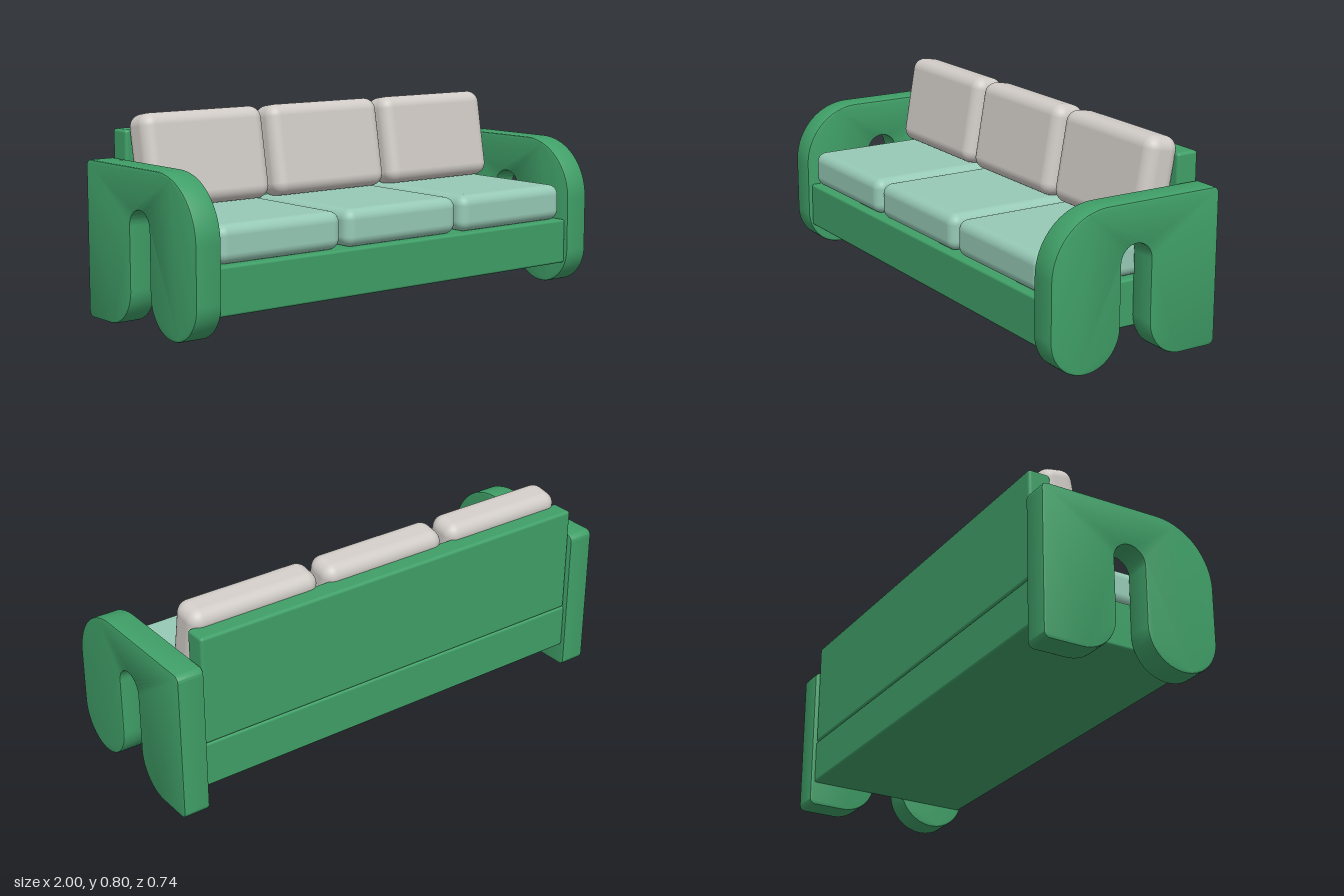
import * as THREE from 'three';
import { toCreasedNormals } from 'three/addons/utils/BufferGeometryUtils.js';
import { RoundedBoxGeometry } from 'three/addons/geometries/RoundedBoxGeometry.js';

const material = (name, color) => new THREE.MeshStandardMaterial({ name, color });

// Side panel profile, drawn with x along depth (front is positive) and y up
function armShape() {
  const s = new THREE.Shape();
  const half = Math.PI / 2;
  s.moveTo(0.37, 0.152);
  s.lineTo(0.37, 0.37);
  s.absarc(0.125, 0.37, 0.245, 0, half, false); // rounded front shoulder
  s.lineTo(-0.345, 0.615);
  s.absarc(-0.345, 0.59, 0.025, half, Math.PI, false);
  s.lineTo(-0.37, 0.025);
  s.absarc(-0.345, 0.025, 0.025, Math.PI, 3 * half, false);
  s.lineTo(-0.215, 0);
  s.absarc(-0.215, 0.148, 0.148, -half, 0, false); // rear foot
  s.lineTo(-0.067, 0.39);
  s.absarc(0, 0.39, 0.067, Math.PI, 0, true); // arch of the slot
  s.lineTo(0.067, 0.152);
  s.absarc(0.2185, 0.152, 0.1515, Math.PI, 2 * Math.PI, false); // front foot
  return s;
}

export function createModel() {
  const sofa = new THREE.Group();
  sofa.name = 'sofa';
  const frameGreen = material('frame green', 0x40a068);
  const seatMint = material('seat mint', 0x97cab6);
  const cushionGrey = material('cushion grey', 0xd0cbc6);

  const add = (name, geometry, mat, x, y, z) => {
    const mesh = new THREE.Mesh(geometry, mat);
    mesh.name = name;
    mesh.position.set(x, y, z);
    sofa.add(mesh);
    return mesh;
  };

  // Arms
  const bevel = 0.007, armWidth = 0.11;
  let arm = new THREE.ExtrudeGeometry(armShape(), {
    depth: armWidth - 2 * bevel, curveSegments: 20,
    bevelSize: bevel, bevelThickness: bevel, bevelOffset: -bevel, bevelSegments: 2,
  });
  arm.translate(0, 0, bevel - armWidth / 2);
  arm.rotateY(-Math.PI / 2);
  arm = toCreasedNormals(arm, 0.5);
  add('leftArm', arm, frameGreen, 0.945, 0, 0);
  add('rightArm', arm, frameGreen, -0.945, 0, 0);

  // Base and backrest
  add('base', new RoundedBoxGeometry(1.784, 0.185, 0.71, 3, 0.01), frameGreen, 0, 0.19, 0);
  add('backrest', new RoundedBoxGeometry(1.776, 0.446, 0.093, 3, 0.012), frameGreen, 0, 0.505, -0.3085);

  // Three seat cushions with three leaning back cushions
  const seat = new RoundedBoxGeometry(0.57, 0.148, 0.605, 5, 0.042);
  const back = new RoundedBoxGeometry(0.565, 0.368, 0.145, 6, 0.05);
  ['right', 'middle', 'left'].forEach((side, i) => {
    const x = (i - 1) * 0.594;
    add(side + 'SeatCushion', seat, seatMint, x, 0.356, 0.04);
    add(side + 'BackCushion', back, cushionGrey, x, 0.61, -0.19).rotation.x = -0.175;
  });

  return sofa;
}
